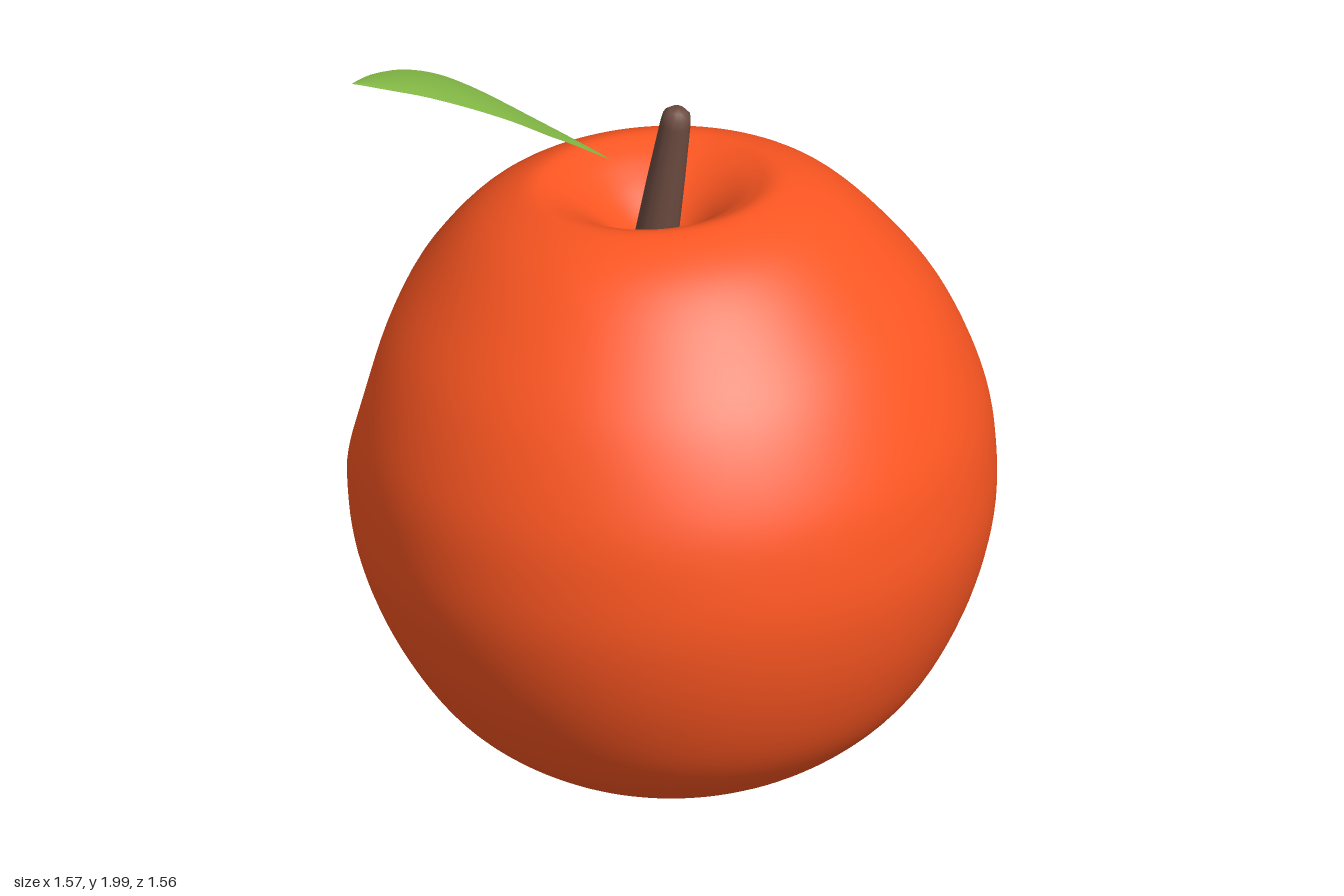
import * as THREE from 'three';

const material = (color, side = THREE.FrontSide) => new THREE.MeshStandardMaterial({ color, side });

function part(name, geometry, mat) {
  const mesh = new THREE.Mesh(geometry, mat);
  mesh.name = name;
  return mesh;
}

const spline = (pairs) => new THREE.SplineCurve(pairs.map(([x, y]) => new THREE.Vector2(x, y)));

// Apple profile from the bottom dimple to the top dimple
const profile = spline([
  [0, -0.66], [0.08, -0.675], [0.17, -0.715], [0.285, -0.743], [0.45, -0.665], [0.59, -0.54],
  [0.7, -0.36], [0.767, -0.17], [0.785, 0], [0.767, 0.18], [0.69, 0.39], [0.575, 0.56],
  [0.45, 0.69], [0.32, 0.755], [0.24, 0.74], [0.16, 0.69], [0.07, 0.615], [0, 0.59],
]).getPoints(100);
profile.forEach((p) => { p.x = Math.max(p.x, 0); });

// Radius of the outer wall at a height
function wallRadius(h) {
  const i = profile.findIndex((p, k) => k > 30 && p.y >= h);
  const a = profile[i - 1], b = profile[i];
  return THREE.MathUtils.mapLinear(h, a.y, b.y, a.x, b.x);
}

// Oval bite rim, facing +z in the body's own frame
const bite = { halfWidth: 0.545, halfHeight: 0.39, height: 0.2, deepHeight: 0.29, deepZ: 0.43 };
function rimPoint(angle) {
  const x = bite.halfWidth * Math.cos(angle);
  const y = bite.height + bite.halfHeight * Math.sin(angle);
  return new THREE.Vector3(x, y, Math.sqrt(wallRadius(y) ** 2 - x * x));
}

// Skin: a lathe with the faces in the bite removed and the border pulled onto the rim
function skinGeometry() {
  const geo = new THREE.LatheGeometry(profile, 128, Math.PI);
  const pos = geo.attributes.position;
  const inside = [];
  for (let i = 0; i < pos.count; i++) {
    const u = pos.getX(i) / bite.halfWidth;
    const v = (pos.getY(i) - bite.height) / bite.halfHeight;
    inside[i] = pos.getZ(i) > 0 && u * u + v * v < 1;
    if (inside[i]) {
      const p = rimPoint(Math.atan2(v, u));
      pos.setXYZ(i, p.x, p.y, p.z);
    }
  }
  const index = geo.index.array, kept = [];
  for (let i = 0; i < index.length; i += 3) {
    const tri = [index[i], index[i + 1], index[i + 2]];
    if (!tri.every((k) => inside[k])) kept.push(...tri);
  }
  geo.setIndex(kept);
  return geo;
}

// Flesh: a disc dished from the rim to the deepest point
function fleshGeometry() {
  const geo = new THREE.RingGeometry(0.001, 1, 64, 12);
  const pos = geo.attributes.position;
  for (let i = 0; i < pos.count; i++) {
    const x = pos.getX(i), y = pos.getY(i), rho = Math.hypot(x, y);
    const p = rimPoint(Math.atan2(y, x));
    pos.setXYZ(i, p.x * rho,
      THREE.MathUtils.lerp(bite.deepHeight, p.y, rho),
      THREE.MathUtils.lerp(bite.deepZ, p.z, rho ** 1.5));
  }
  geo.computeVertexNormals();
  return geo;
}

// Leaf: a strip following an arched midrib, wide in the middle and tilted sideways
function leafGeometry() {
  const rib = spline([[-0.785, 2], [-0.62, 1.945], [-0.45, 1.86], [-0.29, 1.75], [-0.12, 1.63]]);
  const widths = spline([[0, 0], [0.12, 0.085], [0.3, 0.155], [0.53, 0.19], [0.75, 0.165], [0.92, 0.085], [1, 0.02]]);
  const geo = new THREE.PlaneGeometry(1, 2, 28, 8);
  const pos = geo.attributes.position;
  for (let i = 0; i < pos.count; i++) {
    const t = THREE.MathUtils.clamp(pos.getX(i) + 0.5, 0, 1), s = -pos.getY(i);
    const p = rib.getPoint(t), w = widths.getPoint(t);
    const z = s * w.y;
    pos.setXYZ(i, p.x, p.y + 0.26 * z + 0.015 * (1 - s * s) * Math.sin(Math.PI * t),
      -0.125 - 0.035 * Math.sin(Math.PI * t) + z);
  }
  geo.computeVertexNormals();
  return geo;
}

// Stem: tapered, with a rounded tip, leaning along its axis
function makeStem(mat) {
  const base = new THREE.Vector3(0, 1.34, -0.115), tip = new THREE.Vector3(0.042, 1.765, -0.065);
  const axis = tip.clone().sub(base), length = axis.length();
  const outline = [[0.055, 0], [0.046, 0.5], [0.037, 0.9], [0.034, 0.96], [0.02, 0.992], [0, 1]]
    .map(([r, t]) => new THREE.Vector2(r, t * length));
  const stem = part('stem', new THREE.LatheGeometry(outline, 12), mat);
  stem.position.copy(base);
  stem.quaternion.setFromUnitVectors(new THREE.Vector3(0, 1, 0), axis.normalize());
  return stem;
}

export function createModel() {
  const model = new THREE.Group();
  model.name = 'bittenApple';
  const brown = material(0x6d4c41);

  // Body leans back, with the bite turned to the rear
  const body = new THREE.Group();
  body.name = 'body';
  body.position.y = 0.79;
  body.rotation.set(-0.148, Math.PI + 0.509, 0);
  body.add(part('skin', skinGeometry(), material(0xff5722)));
  body.add(part('biteFlesh', fleshGeometry(), material(0xdeb887, THREE.DoubleSide)));

  // Dried blossom end in the bottom dimple
  const calyx = part('calyx', new THREE.SphereGeometry(0.06, 12, 8), brown);
  calyx.position.y = -0.685;
  body.add(calyx);

  model.add(body, makeStem(brown), part('leaf', leafGeometry(), material(0x8bc34a, THREE.DoubleSide)));
  return model;
}
